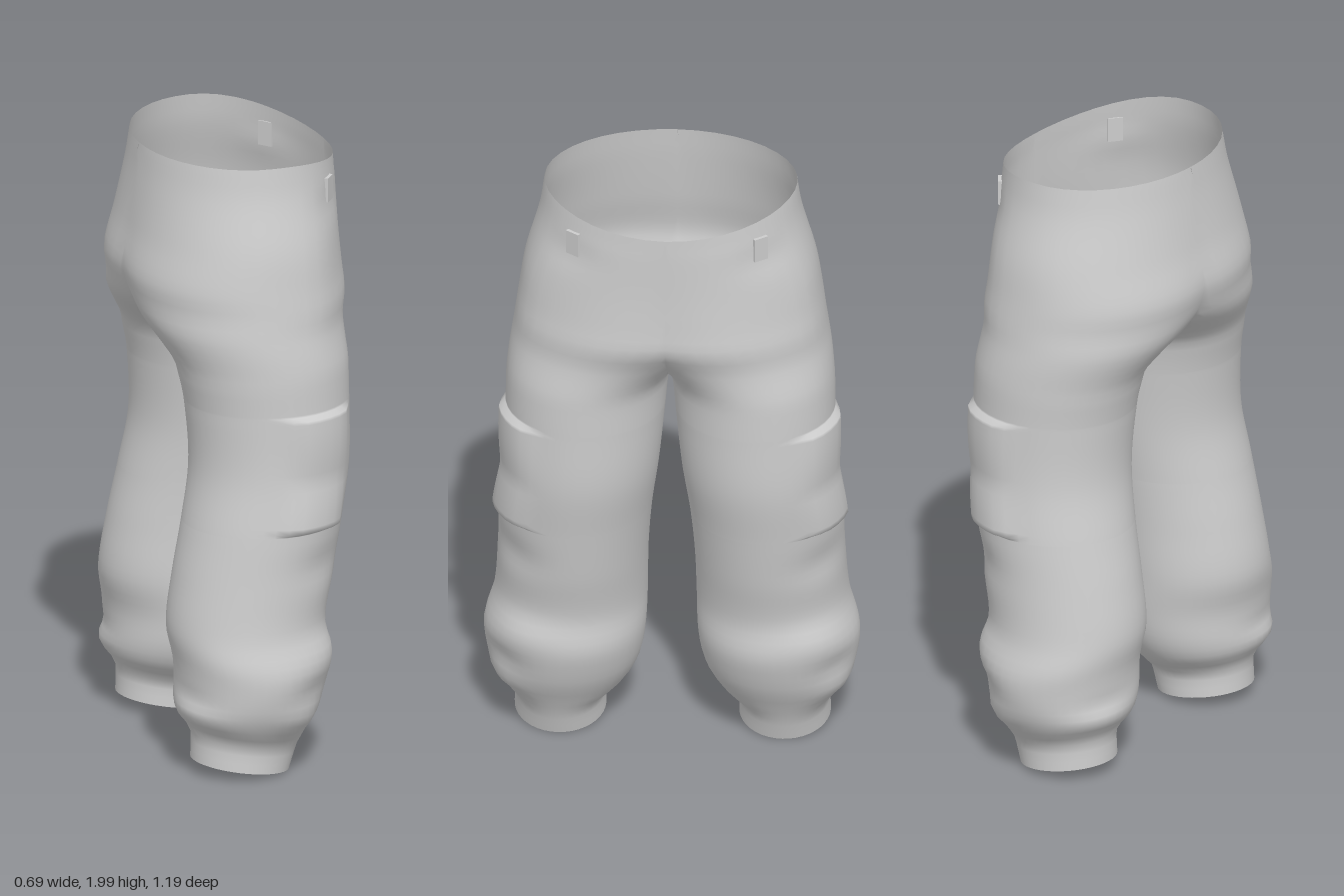
import * as THREE from 'three';
import { mergeVertices } from 'three/addons/utils/BufferGeometryUtils.js';

const SEGMENTS = 40;
const { smoothstep } = THREE.MathUtils;

// Half-trouser cross-sections: height, back x, front x, inner z, outer z, z of the widest chord
const SECTIONS = [
  [2.00, -0.29, 0.33, 0.00, 0.40, 0.00],
  [1.90, -0.30, 0.33, -0.37, 0.415, 0.02],
  [1.73, -0.325, 0.33, -0.37, 0.46, 0.05],
  [1.60, -0.35, 0.335, -0.34, 0.48, 0.08],
  [1.53, -0.338, 0.338, -0.29, 0.49, 0.10],
  [1.46, -0.32, 0.315, -0.17, 0.50, 0.16],
  [1.40, -0.285, 0.308, -0.07, 0.51, 0.21],
  [1.34, -0.25, 0.307, -0.006, 0.517, 0.25],
  [1.30, -0.24, 0.306, 0.006, 0.52, 0.26],
  [1.20, -0.22, 0.305, 0.016, 0.522, 0.27],
  [1.00, -0.21, 0.30, 0.036, 0.53, 0.285],
  [0.82, -0.24, 0.27, 0.06, 0.545, 0.30],
  [0.65, -0.275, 0.24, 0.073, 0.55, 0.31],
  [0.48, -0.298, 0.205, 0.077, 0.562, 0.32],
  [0.36, -0.278, 0.218, 0.082, 0.594, 0.335],
  [0.25, -0.282, 0.185, 0.10, 0.582, 0.345],
  [0.18, -0.275, 0.14, 0.135, 0.55, 0.35],
  [0.145, -0.25, 0.122, 0.17, 0.525, 0.352],
  [0.115, -0.235, 0.108, 0.205, 0.502, 0.355],
  [0.03, -0.235, 0.08, 0.21, 0.50, 0.355],
];

// Soft folds: height, angle in degrees, depth, height spread, angle spread
const FOLDS = [
  [1.62, 62, 0.014, 0.22, 16],
  [1.84, 45, -0.008, 0.05, 14],
  [0.70, 50, -0.012, 0.06, 25],
  [0.42, 35, 0.014, 0.05, 28],
  [0.30, 50, -0.014, 0.04, 22],
  [0.21, 55, 0.016, 0.03, 25],
  [0.28, 165, -0.010, 0.04, 25],
  [0.21, 150, 0.010, 0.03, 30],
  [0.40, 130, 0.008, 0.06, 25],
];

function relief(y, deg) {
  let d = 0;
  for (const [fy, fa, depth, sy, sa] of FOLDS) {
    const da = ((deg - fa + 540) % 360) - 180;
    d += depth * Math.exp(-(((y - fy) / sy) ** 2) - (da / sa) ** 2);
  }
  // Cargo pocket with a stepped top and bottom edge, puffed twice
  if (y > 0.825 && y < 1.198) {
    const side = smoothstep(deg, 28, 50) * (1 - smoothstep(deg, 80, 102));
    d += side * (0.008 + 0.014 * Math.abs(Math.sin((y - 0.99) * 9)));
  }
  return d;
}

// Smooth cubic through the sections, with slopes taken from the neighbours
function sectionAt(y) {
  const i = Math.max(0, SECTIONS.findIndex((s) => s[0] <= y + 1e-6) - 1);
  const a = SECTIONS[i], b = SECTIONS[i + 1];
  const before = SECTIONS[i - 1] ?? a, after = SECTIONS[i + 2] ?? b;
  const h = b[0] - a[0], t = (y - a[0]) / h;
  return a.map((v, n) => {
    if (n === 0) return y;
    const m0 = (h * (b[n] - before[n])) / (b[0] - before[0]);
    const m1 = (h * (after[n] - v)) / (after[0] - a[0]);
    const t2 = t * t, t3 = t2 * t;
    return (2 * t3 - 3 * t2 + 1) * v + (t3 - 2 * t2 + t) * m0 + (3 * t2 - 2 * t3) * b[n] + (t3 - t2) * m1;
  });
}

function ring([y, back, front, zIn, zOut, zMid]) {
  const cx = (back + front) / 2, rx = (front - back) / 2;
  const tilt = 0.15 * (1 - smoothstep(y, 0.13, 0.32));
  // Above the crotch, inner points gather where the section meets the centre plane
  const sinSeam = zIn < 0 ? -Math.max(0, zMid) / (zMid - zIn) : -2;
  return Array.from({ length: SEGMENTS }, (_, j) => {
    const t = (j / SEGMENTS) * Math.PI * 2;
    let c = Math.cos(t), s = Math.sin(t);
    const d = relief(y, (j / SEGMENTS) * 360);
    const onSeam = s <= sinSeam;
    if (onSeam) {
      s = sinSeam;
      c = Math.sign(c) * Math.sqrt(1 - s * s);
    }
    let z = zMid + (s > 0 ? zOut - zMid : zMid - zIn) * s + d * s;
    if (onSeam || z < 1e-4) z = 0;
    const dip = 0.055 * Math.max(0, c) ** 2 * smoothstep(y, 1.85, 2);
    return [cx + (rx + (onSeam ? 0 : d)) * c, y - tilt * rx * c - dip, z];
  });
}

function buildRings() {
  const heights = [1.205, 1.195, 0.83, 0.82]; // pocket edges
  for (let k = 0; k <= 70; k++) heights.push(2 - (1.97 * k) / 70);
  return heights.sort((a, b) => b - a).map((y) => ring(sectionAt(y)));
}

function surface(triangles) {
  const g = new THREE.BufferGeometry();
  g.setAttribute('position', new THREE.Float32BufferAttribute(triangles.flat(2), 3));
  const welded = mergeVertices(g, 1e-4);
  welded.computeVertexNormals();
  return welded;
}

export function createModel() {
  const model = new THREE.Group();
  model.name = 'trousers';
  const fabric = new THREE.MeshStandardMaterial({ color: 0xcccccc, side: THREE.DoubleSide });
  fabric.name = 'light grey fabric';
  const add = (geometry, name) => {
    const mesh = new THREE.Mesh(geometry, fabric);
    mesh.name = name;
    model.add(mesh);
    return mesh;
  };
  const mirror = ([x, y, z]) => [x, y, -z];
  const addTriangle = (list, a, b, c) => {
    list.push([a, b, c], [mirror(a), mirror(c), mirror(b)]);
  };
  // Skin between two rings, left open along the centre plane
  const bridge = (list, upper, lower) => {
    for (let j = 0; j < SEGMENTS; j++) {
      const k = (j + 1) % SEGMENTS;
      for (const tri of [[upper[j], upper[k], lower[j]], [upper[k], lower[k], lower[j]]]) {
        if (tri.some((p) => p[2] > 0)) addTriangle(list, ...tri);
      }
    }
  };

  // Hips and both legs as one smooth cloth shell
  const rings = buildRings();
  const cloth = [];
  for (let i = 0; i < rings.length - 1; i++) bridge(cloth, rings[i], rings[i + 1]);
  add(surface(cloth), 'hipsAndLegs');

  // Shallow domes closing the legs just above the open cuffs
  const rim = ring(sectionAt(0.125));
  const centre = [0, 1, 2].map((n) => rim.reduce((sum, p) => sum + p[n], 0) / SEGMENTS);
  const domeRing = (angle) => rim.map((p) => p.map((v, n) =>
    centre[n] + (v - centre[n]) * Math.cos(angle) + (n === 1 ? 0.05 * Math.sin(angle) : 0)));
  const domes = [];
  for (let i = 0; i < 6; i++) {
    bridge(domes, domeRing(((i + 1) * Math.PI) / 12), domeRing((i * Math.PI) / 12));
  }
  add(surface(domes), 'legLinings');

  // Belt loops on the front of the waistband
  for (const side of [-1, 1]) {
    const loop = add(new THREE.BoxGeometry(0.016, 0.08, 0.05), side > 0 ? 'beltLoopA' : 'beltLoopB');
    loop.position.set(0.24, 1.88, side * 0.295);
    loop.rotation.y = -side * 0.65;
  }
  return model;
}
